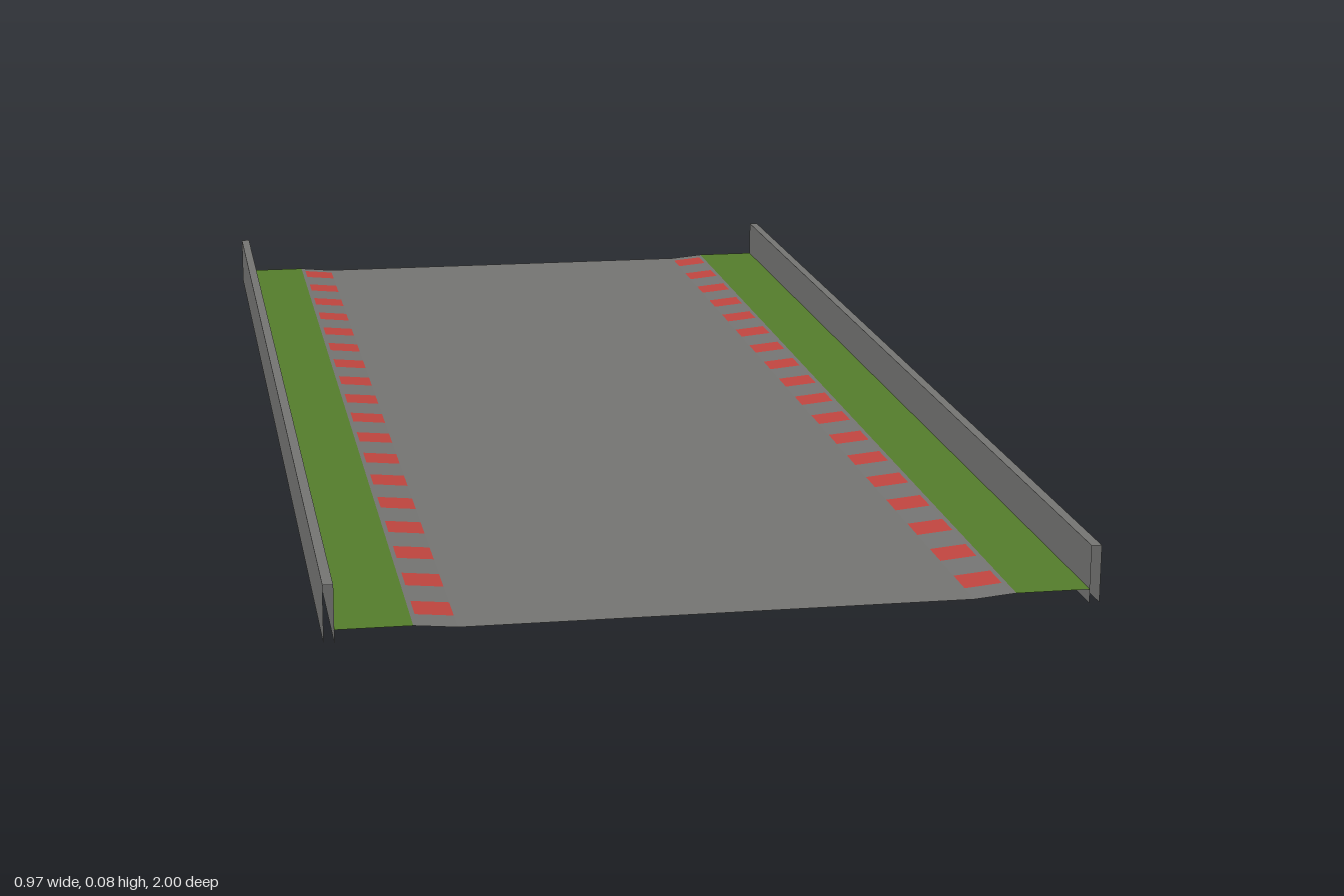
import * as THREE from 'three';
import { mergeGeometries } from 'three/addons/utils/BufferGeometryUtils.js';

const material = (name, color) => new THREE.MeshStandardMaterial({ name, color, side: THREE.DoubleSide });

// Open sheet spanning two points of the cross-section, extruded along z
function strip([x0, y0], [x1, y1], z0 = -1, z1 = 1) {
  const g = new THREE.BufferGeometry();
  g.setAttribute('position', new THREE.Float32BufferAttribute(
    [x0, y0, z0, x0, y0, z1, x1, y1, z1, x1, y1, z0], 3));
  g.setIndex([0, 1, 2, 0, 2, 3]);
  g.computeVertexNormals();
  return g;
}

export function createModel() {
  const model = new THREE.Group();
  model.name = 'trackSection';
  const asphalt = material('asphalt grey', 0x757573);
  const grass = material('grass green', 0x557d2c);
  const red = material('marker red', 0xc0453f);

  const add = (name, parts, mat) => {
    const mesh = new THREE.Mesh(mergeGeometries(parts), mat);
    mesh.name = name;
    model.add(mesh);
  };

  // Flat driving surface
  add('road', [strip([-0.322, 0.013], [0.322, 0.013])], asphalt);

  // Edges, mirrored on both sides
  const count = 18, pitch = 0.111, first = -0.955, half = 0.025;
  for (const side of [-1, 1]) {
    const label = side > 0 ? 'left' : 'right';
    // Points are ordered by x so that sheets face up
    const sheet = (a, b, z0, z1) => {
      const p = [side * a[0], a[1]], q = [side * b[0], b[1]];
      return side > 0 ? strip(p, q, z0, z1) : strip(q, p, z0, z1);
    };
    const inner = [0.322, 0.013], outer = [0.37, 0.0175], rim = [0.376, 0.018];

    // Rising road edge with square markers set flush into it
    const markers = [], gaps = [sheet(outer, rim)];
    let z = -1;
    for (let i = 0; i < count; i++) {
      const c = first + i * pitch;
      gaps.push(sheet(inner, outer, z, c - half));
      markers.push(sheet(inner, outer, c - half, c + half));
      z = c + half;
    }
    gaps.push(sheet(inner, outer, z, 1));
    add(label + 'RoadEdge', gaps, asphalt);
    add(label + 'Markers', markers, red);

    // Grass verge
    add(label + 'Verge', [sheet(rim, [0.471, 0.018])], grass);

    // Wall with open ends and open underside
    add(label + 'Wall', [
      sheet([0.471, 0], [0.471, 0.075]),
      sheet([0.471, 0.075], [0.484, 0.075]),
      sheet([0.484, 0.075], [0.484, 0]),
    ], asphalt);
  }
  return model;
}
